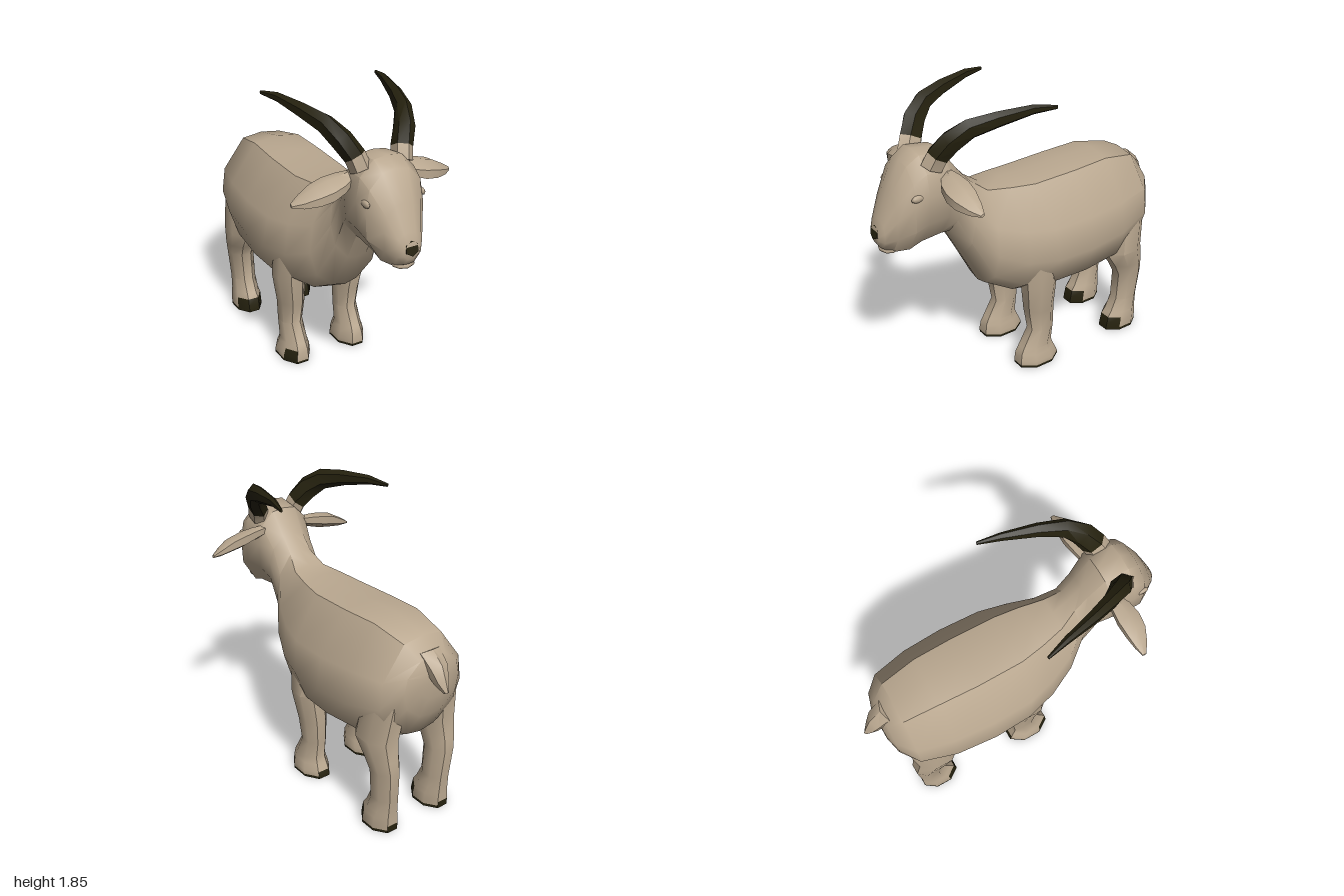
import * as THREE from 'three';
import { toCreasedNormals } from 'three/addons/utils/BufferGeometryUtils.js';

const V = (x, y, z) => new THREE.Vector3(x, y, z);

// Skin a list of point rings; dark(ring, side) chooses the second material group
function loft(rings, dark = () => false, crease = 0.75) {
  const n = rings[0].length, pts = rings.flat(), lists = [[], []];
  const last = (rings.length - 1) * n;
  const centre = r => r.reduce((a, p) => a.add(p), V(0, 0, 0)).divideScalar(n);
  pts.push(centre(rings[0]), centre(rings[rings.length - 1]));
  for (let k = 0; k < n; k++) {
    const m = (k + 1) % n;
    for (let r = 0; r < rings.length - 1; r++) {
      const a = r * n + k, b = r * n + m, c = a + n, d = b + n;
      lists[dark(r, k) ? 1 : 0].push(a, b, d, a, d, c);
    }
    lists[dark(-1, k) ? 1 : 0].push(pts.length - 2, m, k);
    lists[dark(rings.length - 1, k) ? 1 : 0].push(pts.length - 1, last + k, last + m);
  }
  // Turn the faces outward if the rings wind the other way
  const idx = lists.flat();
  let volume = 0;
  for (let i = 0; i < idx.length; i += 3)
    volume += pts[idx[i]].dot(pts[idx[i + 1]].clone().cross(pts[idx[i + 2]]));
  if (volume < 0)
    for (let i = 0; i < idx.length; i += 3) [idx[i], idx[i + 1]] = [idx[i + 1], idx[i]];
  const geo = new THREE.BufferGeometry().setFromPoints(pts);
  geo.setIndex(idx);
  geo.addGroup(0, lists[0].length, 0);
  if (lists[1].length) geo.addGroup(lists[0].length, lists[1].length, 1);
  return toCreasedNormals(geo, crease);
}

// Polygon ring with flat sides facing along its two axes
function ring(c, u, v, n = 8) {
  const k = 1 / Math.cos(Math.PI / n);
  return Array.from({ length: n }, (_, i) => {
    const a = (i - 0.5) * 2 * Math.PI / n;
    return c.clone().addScaledVector(u, Math.cos(a) * k).addScaledVector(v, Math.sin(a) * k);
  });
}

// Half outlines (side, height) of the trunk and the head
const TRUNK = [[0, 1], [.45, .97], [.93, .66], [1, .4], [.82, .17], [.35, .03], [0, 0]];
const HEAD = [[0, 1], [.45, .98], [.88, .83], [1, .6], [.95, .3], [.45, .03], [0, 0]];

// Upright ring between a top and a bottom point; h blends trunk to head
function section([zt, yt, zb, yb, w, h]) {
  const half = TRUNK.map(([x, t], i) => {
    x += (HEAD[i][0] - x) * h;
    t += (HEAD[i][1] - t) * h;
    return V(x * w, yb + (yt - yb) * t, zb + (zt - zb) * t);
  });
  const other = half.slice(1, -1).reverse().map(p => V(-p.x, p.y, p.z));
  return [...half, ...other];
}

export function createModel() {
  const goat = new THREE.Group();
  goat.name = 'goat';
  const coat = new THREE.MeshStandardMaterial({ color: 0xbaa890 });
  coat.name = 'tan coat';
  const horny = new THREE.MeshStandardMaterial({ color: 0x26220f });
  horny.name = 'dark horn';
  const add = (name, geo, mat) => {
    const mesh = new THREE.Mesh(geo, mat);
    mesh.name = name;
    goat.add(mesh);
    return mesh;
  };

  // Trunk, neck and head in one skin: top z,y, bottom z,y, half width, blend
  add('body', loft([
    [-.90, 1.08, -.90, .90, .10, 1],
    [-.87, 1.15, -.875, .78, .20, .6],
    [-.78, 1.24, -.79, .62, .30, 0],
    [-.55, 1.29, -.57, .50, .355, 0],
    [-.30, 1.28, -.30, .475, .375, 0],
    [0, 1.27, -.10, .475, .365, 0],
    [.15, 1.28, .13, .50, .315, 0],
    [.30, 1.29, .32, .61, .24, 0],
    [.40, 1.36, .45, .86, .165, .4],
    [.48, 1.45, .55, 1.05, .16, .8],
    [.58, 1.59, .61, 1.06, .185, 1],
    [.73, 1.61, .74, 1.05, .197, 1],
    [.81, 1.56, .82, 1.02, .185, 1],
    [.90, 1.40, .91, 1.025, .125, 1],
    [.965, 1.25, .965, 1.06, .08, 1],
    [.99, 1.19, .99, 1.10, .05, 1],
  ].map(section)), coat);

  // Nose plate
  const nose = add('nose', new THREE.CylinderGeometry(.044, .044, .009, 6), horny);
  nose.rotation.x = Math.PI / 2 - .2;
  nose.position.set(0, 1.165, .988);

  // Lower lip
  const lip = add('lowerLip', new THREE.SphereGeometry(1, 8, 6), coat);
  lip.scale.set(.07, .025, .06);
  lip.position.set(0, 1.045, .91);

  // Tail
  add('tail', loft([
    [-.82, 1.16, .07, .04], [-.90, 1.09, .06, .04], [-.945, 1.02, .04, .03], [-.99, .968, .012, .012],
  ].map(([z, y, w, t]) => ring(V(0, y, z), V(w, 0, 0), V(0, t * .6, -t), 6))), coat);

  // Legs: y, back z, front z, centre x, half width
  const frontLeg = [
    [.85, -.08, .13, .22, .09], [.60, -.10, .12, .225, .095], [.40, -.10, .09, .205, .08],
    [.25, -.10, .065, .205, .07], [.13, -.085, .13, .205, .075], [.09, -.10, .15, .205, .085],
    [.045, -.12, .155, .207, .095], [.018, -.13, .158, .207, .097], [0, -.13, .155, .207, .095],
  ];
  const rearLeg = [
    [.95, -.84, -.56, .18, .11], [.62, -.80, -.52, .215, .11], [.50, -.82, -.60, .215, .09],
    [.42, -.83, -.64, .21, .08], [.22, -.815, -.64, .20, .075], [.13, -.81, -.60, .20, .08],
    [.095, -.81, -.575, .20, .088], [.045, -.81, -.565, .20, .09], [.018, -.81, -.56, .20, .09],
    [0, -.81, -.56, .20, .09],
  ];
  const addLeg = (name, rows, s, toes) => {
    const rings = rows.map(([y, z0, z1, x, w]) =>
      ring(V(s * x, y, (z0 + z1) / 2), V(w, 0, 0), V(0, 0, (z1 - z0) / 2)));
    const sole = rows.length - 2;
    // Dark sole, heel and toe facets
    const dark = (r, k) => r >= sole || (r === sole - 1 && k === 6) || (r >= sole - 2 && r >= 0 && toes.includes(k));
    add(name, loft(rings, dark), [coat, horny]);
  };
  addLeg('frontLegLeft', frontLeg, 1, []);
  addLeg('frontLegRight', frontLeg, -1, [3]);
  addLeg('rearLegLeft', rearLeg, 1, [1, 2, 3]);
  addLeg('rearLegRight', rearLeg, -1, [1, 2, 3]);

  for (const s of [1, -1]) {
    const side = s > 0 ? 'Left' : 'Right';

    // Horn swept back: x, y, z, radius
    const path = [
      [.13, 1.53, .675, .066], [.15, 1.60, .645, .066], [.20, 1.685, .59, .066], [.25, 1.755, .50, .055],
      [.30, 1.79, .35, .042], [.35, 1.818, .15, .025], [.385, 1.812, .015, .01],
    ];
    const pts = path.map(([x, y, z]) => V(s * x, y, z));
    const rings = pts.map((p, i) => {
      const t = pts[Math.min(i + 1, pts.length - 1)].clone().sub(pts[Math.max(i - 1, 0)]).normalize();
      const u = V(1, 0, 0).addScaledVector(t, -t.x).normalize();
      const r = path[i][3];
      return ring(p, u.clone().multiplyScalar(r * .75), t.clone().cross(u).multiplyScalar(r), 6);
    });
    add('horn' + side, loft(rings, (r, k) => r > 0), [coat, horny]);

    // Ear: x, y, z, half depth, half thickness
    add('ear' + side, loft([
      [.15, 1.465, .60, .035, .03], [.22, 1.45, .615, .06, .038], [.30, 1.432, .62, .072, .045],
      [.38, 1.415, .62, .065, .042], [.46, 1.39, .61, .04, .026], [.515, 1.375, .60, .012, .008],
    ].map(([x, y, z, d, t]) => ring(V(s * x, y, z), V(0, -d * .25, d), V(0, t, 0), 6))), coat);

    // Eyelid
    const lid = add('eyelid' + side, new THREE.SphereGeometry(1, 8, 6), coat);
    lid.scale.set(.015, .022, .04);
    lid.position.set(s * .178, 1.39, .80);
  }
  return goat;
}
